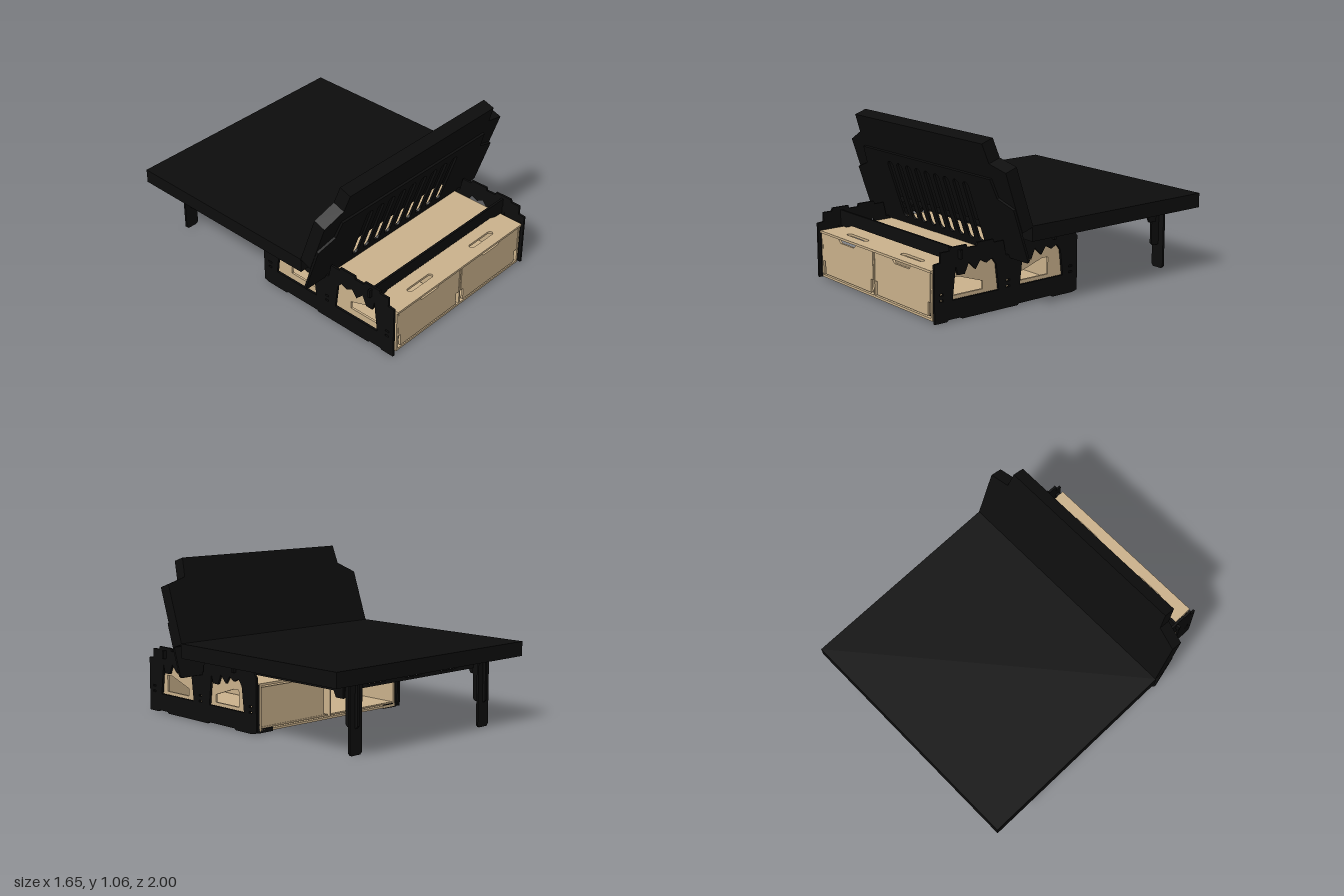
import * as THREE from 'three';

const black = new THREE.MeshStandardMaterial({ color: 0x0d0d0d, side: THREE.DoubleSide });
black.name = 'black';
const wood = new THREE.MeshStandardMaterial({ color: 0xcbb28c, side: THREE.DoubleSide });
wood.name = 'birch wood';

const T = 0.015; // sheet thickness

function addMesh(parent, name, geometry, material) {
  const mesh = new THREE.Mesh(geometry, material);
  mesh.name = name;
  parent.add(mesh);
  return mesh;
}

// Box given by its minimum and maximum corners
function box(parent, name, material, x0, x1, y0, y1, z0, z1) {
  const g = new THREE.BoxGeometry(x1 - x0, y1 - y0, z1 - z0);
  g.translate((x0 + x1) / 2, (y0 + y1) / 2, (z0 + z1) / 2);
  return addMesh(parent, name, g, material);
}

const outline = (points) => points.map(([x, y]) => new THREE.Vector2(x, y));
const rect = (x0, x1, y0, y1) => [[x0, y0], [x1, y0], [x1, y1], [x0, y1]];

// Pill-shaped or rounded slot as a list of points
function slot(x0, x1, y0, y1) {
  const r = Math.min(x1 - x0, y1 - y0) / 2, pts = [];
  const corners = [[x1 - r, y1 - r], [x0 + r, y1 - r], [x0 + r, y0 + r], [x1 - r, y0 + r]];
  corners.forEach(([cx, cy], q) => {
    for (let i = 0; i <= 4; i++) {
      const a = (q + i / 4) * Math.PI / 2;
      pts.push([cx + r * Math.cos(a), cy + r * Math.sin(a)]);
    }
  });
  return pts;
}

function sheet(points, holes = [], depth = T) {
  const shape = new THREE.Shape(outline(points));
  holes.forEach((h) => shape.holes.push(new THREE.Path(outline(h))));
  return new THREE.ExtrudeGeometry(shape, { depth, bevelEnabled: false });
}
// Upright sheet drawn in (z, y), centred on x
const sideSheet = (points, holes, x) => sheet(points, holes).rotateY(-Math.PI / 2).translate(x + T / 2, 0, 0);
// Flat sheet drawn in (x, z), its top at y
const flatSheet = (points, holes, y) => sheet(points, holes).rotateX(Math.PI / 2).translate(0, y, 0);

function drawerBox() {
  const g = new THREE.Group();
  g.name = 'drawerBox';

  // Top with grip slots
  addMesh(g, 'boxTop', flatSheet(rect(-0.605, 0.61, -0.09, 1),
    [-0.3, 0.3].map((x) => slot(x - 0.112, x + 0.112, 0.892, 0.928)), 0.318), wood);

  // Base with braced cut-outs, and the drawer floors above it
  const holes = [];
  for (const cx of [-0.3, 0.3]) {
    for (const s of [-1, 1]) {
      holes.push([[cx - 0.19, 0.455 + s * 0.46], [cx + 0.19, 0.455 + s * 0.46],
        [cx + 0.07, 0.455 + s * 0.2], [cx - 0.07, 0.455 + s * 0.2]]);
      holes.push([[cx + s * 0.23, 0.455 - 0.25], [cx + s * 0.23, 0.455 + 0.25], [cx + s * 0.08, 0.455]]);
    }
  }
  addMesh(g, 'boxBase', flatSheet(rect(-0.605, 0.61, -0.09, 0.99), holes, 0.025), wood);
  for (const s of [-1, 1]) {
    box(g, 'drawerFloor', wood, Math.min(s * 0.02, s * 0.59), Math.max(s * 0.02, s * 0.59), 0.03, 0.04, -0.08, 0.97);
  }

  // Walls with angled windows, and the divider
  const window = [[0.85, 0.14], [0.85, 0.25], [0.8, 0.25], [0.62, 0.19], [0.62, 0.14]];
  const windows = [window, window.map(([z, y]) => [0.96 - z, y])];
  for (const x of [-0.597, 0.602]) {
    addMesh(g, 'boxWall', sideSheet(rect(-0.09, 0.99, 0.025, 0.303), windows, x), wood);
  }
  box(g, 'divider', wood, -0.006, 0.006, 0.025, 0.303, -0.09, 0.99);

  // Drawer fronts with a handle cut-out and notched lower corners
  for (const s of [-1, 1]) {
    const front = [[0.035, 0.035], [0.565, 0.035], [0.565, 0.12], [0.588, 0.12], [0.588, 0.3],
      [0.4, 0.3], [0.375, 0.277], [0.225, 0.277], [0.2, 0.3],
      [0.012, 0.3], [0.012, 0.12], [0.035, 0.12]].map(([x, y]) => [s * x, y]);
    addMesh(g, 'drawerFront', sheet(front).translate(0, 0, 0.975), wood);
    box(g, 'cornerBracket', black, s * 0.577 - 0.012, s * 0.577 + 0.012, 0.03, 0.12, 0.96, 0.972);
  }
  // Closed back of one bay
  box(g, 'drawerBack', wood, 0.045, 0.588, 0.035, 0.29, -0.075, -0.06);
  return g;
}

function sideFrame(s) {
  const g = new THREE.Group();
  g.name = 'sideFrame';
  const profile = [[-0.1, 0.01], [-0.06, 0], [0.1, 0], [0.11, 0.01], [0.37, 0.01], [0.38, 0], [0.8, 0], [0.81, 0.01],
    [0.9, 0.01], [0.91, 0], [1, 0], [1, 0.36], [0.955, 0.365], [0.955, 0.425],
    [0.89, 0.425], [0.885, 0.445], [0.765, 0.445], [0.76, 0.425], [0.69, 0.425], [0.685, 0.445], [0.565, 0.445],
    [0.56, 0.425], [0.49, 0.425], [0.47, 0.33], [0.42, 0.33], [0.41, 0.43], [-0.05, 0.43], [-0.1, 0.36]];
  // Two windows with a jagged upper edge
  const window = [[0.87, 0.125], [0.845, 0.33], [0.83, 0.27], [0.78, 0.27], [0.75, 0.335], [0.7, 0.285],
    [0.665, 0.335], [0.62, 0.31], [0.575, 0.33], [0.545, 0.29], [0.525, 0.125]];
  const holes = [window, window.map(([z, y]) => [z - 0.507, y])];
  for (const z of [0.95, 0.455, -0.045]) {
    for (const y of [0.135, 0.172]) holes.push(rect(z - 0.014, z + 0.014, y - 0.006, y + 0.006));
  }
  addMesh(g, 'framePlate', sideSheet(profile, holes, s * 0.638), black);
  // Corner posts and feet
  for (const z of [0.95, -0.09]) {
    box(g, 'cornerPost', black, s * 0.62 - 0.011, s * 0.62 + 0.011, 0.01, 0.31, z, z + 0.03);
    box(g, 'foot', black, s * 0.56 - 0.06, s * 0.56 + 0.06, 0.004, 0.03, z, z + 0.015);
  }
  return g;
}

function platform() {
  const g = new THREE.Group();
  g.name = 'platform';
  box(g, 'mattress', black, -0.828, 0.825, 0.44, 0.535, -1, 0.415);

  // Slotted bed board
  const slots = [];
  for (let i = -5; i <= 5; i++) {
    for (const z of [-0.6, -0.18]) slots.push(slot(i * 0.1 - 0.022, i * 0.1 + 0.022, z - 0.16, z + 0.16));
  }
  addMesh(g, 'bedBoard', flatSheet(rect(-0.7, 0.7, -0.87, 0.4), slots, 0.44), black);

  // Rails
  for (const x of [-0.6, 0.6]) {
    addMesh(g, 'sideRail', sideSheet([[-0.83, 0.33], [-0.77, 0.33], [-0.75, 0.37], [0.4, 0.37], [0.4, 0.43], [-0.83, 0.43]],
      [], x), black);
  }
  const railSlots = [-0.32, 0, 0.32].map((x) => slot(x - 0.08, x + 0.08, 0.388, 0.408));
  for (const z of [-0.82, -0.1]) {
    addMesh(g, 'crossRail', sheet(rect(-0.6, 0.6, 0.37, 0.43), railSlots).translate(0, 0, z), black);
  }

  // Legs made of two crossed sheets
  for (const x of [-0.57, 0.57]) {
    const leg = new THREE.Group();
    leg.name = 'leg';
    leg.position.x = x;
    addMesh(leg, 'legPlate', sheet([[-0.035, 0], [0.035, 0], [0.05, 0.015], [0.05, 0.43], [-0.05, 0.43], [-0.05, 0.015]])
      .translate(0, 0, -0.9), black);
    addMesh(leg, 'legBrace', sideSheet([[-0.905, 0.16], [-0.835, 0.16], [-0.82, 0.175], [-0.82, 0.32], [-0.79, 0.43],
      [-0.92, 0.43], [-0.92, 0.175]], [], 0), black);
    g.add(leg);
  }
  return g;
}

function backrest() {
  const g = new THREE.Group();
  g.name = 'backrest';
  g.position.set(0, 0.53, 0.41);
  g.rotation.x = 0.328;

  addMesh(g, 'backCushion', sheet([[-0.825, 0], [0.825, 0], [0.825, 0.396], [0.685, 0.433], [0.67, 0.56],
    [-0.67, 0.56], [-0.68, 0.433], [-0.82, 0.359]], [], 0.085), black);

  // Slatted board with a rounded lower edge, reaching below the cushion
  const slots = [];
  for (let i = -4; i <= 4; i++) slots.push(slot(i * 0.1 - 0.028, i * 0.1 + 0.028, -0.14, 0.27));
  addMesh(g, 'backBoard', sheet([[-0.81, -0.2], [0.81, -0.2], [0.822, -0.185], [0.822, 0.16], [0.69, 0.21], [0.67, 0.335],
    [-0.67, 0.335], [-0.69, 0.21], [-0.822, 0.16], [-0.822, -0.185]], slots).translate(0, 0, 0.086), black);
  return g;
}

export function createModel() {
  const model = new THREE.Group();
  model.name = 'campingBedModule';
  model.add(drawerBox(), sideFrame(1), sideFrame(-1), platform(), backrest());

  // Cross bars over the box, with stepped ends
  for (const z of [0.82, 0.1]) {
    addMesh(model, 'crossBar', sheet([[-0.5, 0.34], [0.5, 0.34], [0.56, 0.32], [0.625, 0.32], [0.625, 0.37], [0.67, 0.37],
      [0.67, 0.425], [-0.67, 0.425], [-0.67, 0.37], [-0.625, 0.37], [-0.625, 0.32], [-0.56, 0.32]])
      .translate(0, 0, z - T / 2), black);
  }
  return model;
}
